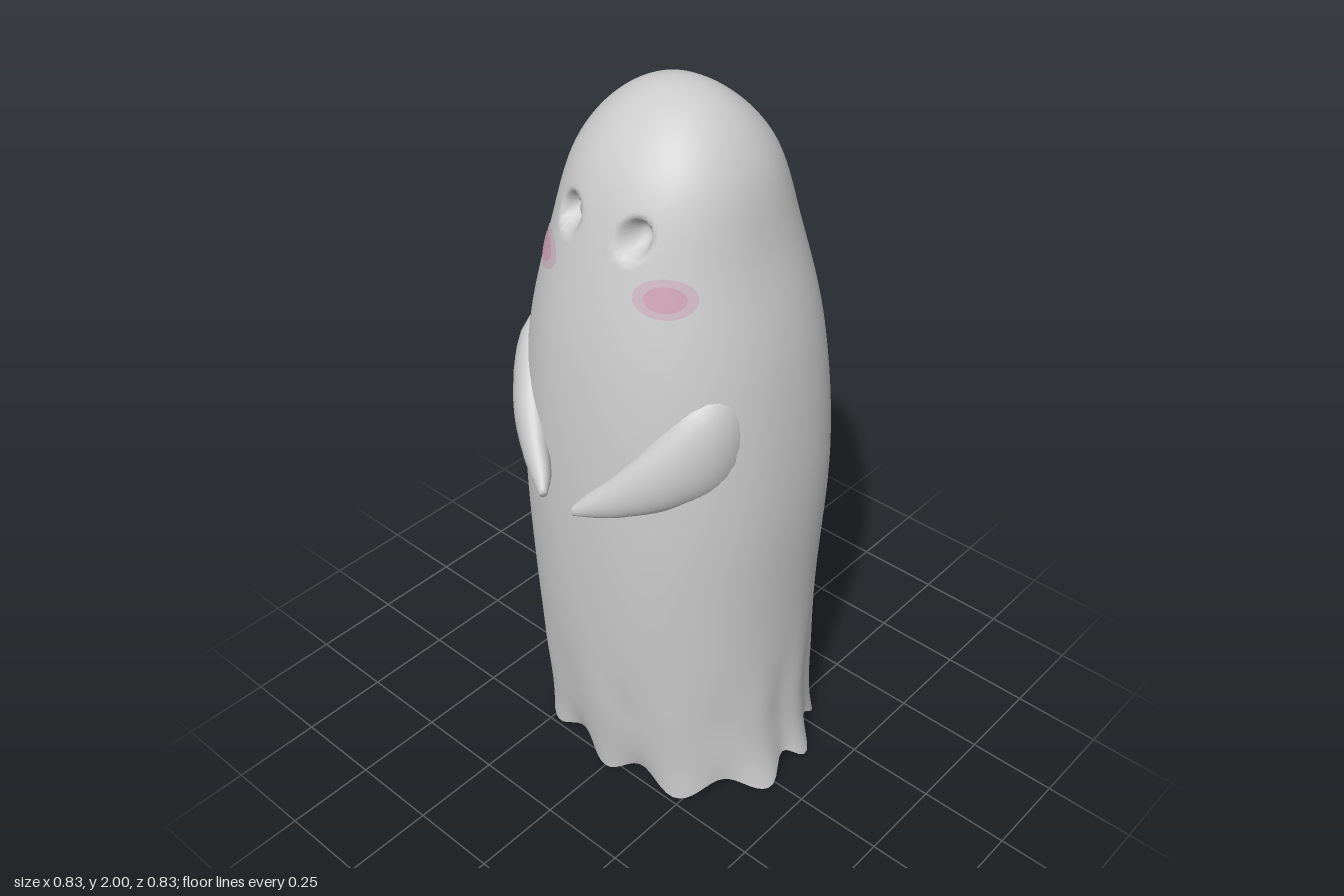
import * as THREE from 'three';

const GREY = 0xcccccc;

// Body outline at equal steps of s, where y = 2 - s * s: half width, front z, back z
const PROFILE = [
  [0, -0.03, -0.03], [0.128, 0.09, -0.14], [0.228, 0.2, -0.25], [0.285, 0.27, -0.32],
  [0.355, 0.325, -0.385], [0.39, 0.347, -0.415], [0.383, 0.333, -0.39], [0.385, 0.28, -0.37],
];
// Angles (degrees from the front) of the hem scallops on one half
const SCALLOPS = [0, 35, 77, 103, 130, 155, 180];

// Smooth interpolation of one profile column
function profileAt(s, col) {
  const p = Math.min(s / 0.2, 7.08);
  const i = Math.min(Math.floor(p), 6), t = p - i;
  const last = PROFILE.length - 1;
  const b = PROFILE[i][col], c = PROFILE[i + 1][col];
  const a = i > 0 ? PROFILE[i - 1][col] : 2 * b - c;
  const d = i + 2 <= last ? PROFILE[i + 2][col] : 2 * c - b;
  const m0 = (c - a) / 2, m1 = (d - b) / 2;
  return b + t * (m0 + t * (3 * (c - b) - 2 * m0 - m1 + t * (2 * (b - c) + m0 + m1)));
}

// +1 at the tip of a scallop, -1 in the gap between two
function scallop(theta) {
  let deg = Math.abs(THREE.MathUtils.radToDeg(theta)) % 360;
  if (deg > 180) deg = 360 - deg;
  let k = 0;
  while (k < SCALLOPS.length - 2 && deg > SCALLOPS[k + 1]) k++;
  const t = (deg - SCALLOPS[k]) / (SCALLOPS[k + 1] - SCALLOPS[k]);
  return Math.cos(t * Math.PI * 2);
}

// Point of the sheet at angle theta (0 = front, positive towards +x) and height parameter s
function sheetPoint(theta, s, offset = 0) {
  const sin = Math.sin(theta), cos = Math.cos(theta);
  const w = profileAt(s, 0), front = profileAt(s, 1), back = profileAt(s, 2);
  const n = 2.2;
  const r = Math.pow(Math.abs(sin) ** n + Math.abs(cos) ** n, -1 / n);
  let y = Math.max(0, 2 - s * s);

  // flared, scalloped hem and faint folds above it
  const c = scallop(theta), side = sin * sin;
  const k = Math.max(0, 1 - y / 0.28) ** 2;
  const fold = Math.exp(-(((y - 0.28) / 0.14) ** 2)) * 0.005 * c;
  const out = offset + fold + k * (side * (0.022 + 0.018 * c) + 0.012 * (c - 1) * (1 - side));
  y += k * (0.028 * (1 - c) + 0.022 * (1 - cos));

  const x = sin * (w * r + out);
  let z = (front + back) / 2 + cos * ((front - back) / 2 * r + out);

  // eye sockets
  if (z > 0) {
    const d = Math.hypot((Math.abs(x) - 0.098) / 0.044, (y - 1.725) / 0.056);
    if (d < 1) z -= 0.055 * THREE.MathUtils.smoothstep(1 - d, 0, 0.75);
  }
  return new THREE.Vector3(x, y, z);
}

// Surface from rows of closed loops, each running anticlockwise seen from above
function loft(rows, cols, pointAt) {
  const pos = [], index = [];
  for (let i = 0; i <= rows; i++) {
    for (let j = 0; j < cols; j++) {
      pos.push(...pointAt(i / rows, (j / cols) * Math.PI * 2).toArray());
    }
  }
  for (let i = 0; i < rows; i++) {
    for (let j = 0; j < cols; j++) {
      const a = i * cols + j, b = i * cols + (j + 1) % cols;
      index.push(a, a + cols, b, b, a + cols, b + cols);
    }
  }
  const g = new THREE.BufferGeometry();
  g.setAttribute('position', new THREE.Float32BufferAttribute(pos, 3));
  g.setIndex(index);
  g.computeVertexNormals();
  return g;
}

function part(name, geometry, color = GREY) {
  const material = new THREE.MeshStandardMaterial({ color, side: THREE.DoubleSide });
  const mesh = new THREE.Mesh(geometry, material);
  mesh.name = name;
  return mesh;
}

// Draped sleeve tapering from the shoulder to a pointed hand
function armGeometry(side) {
  const path = new THREE.CatmullRomCurve3([
    [0.23, 1.27, 0.02], [0.268, 1.215, 0.16], [0.22, 1.15, 0.262],
    [0.145, 1.092, 0.335], [0.085, 1.058, 0.378], [0.05, 1.04, 0.408],
  ].map((p) => new THREE.Vector3(...p)));
  const heights = [0.17, 0.14, 0.095, 0.058, 0.034, 0.012];
  const depths = [0.08, 0.075, 0.055, 0.036, 0.024, 0.01];
  const mix = (list, t) => {
    const i = Math.min(Math.floor(t * 5), 4);
    return THREE.MathUtils.lerp(list[i], list[i + 1], t * 5 - i);
  };
  return loft(31, 28, (v, angle) => {
    const t = Math.min(1, v * 31 / 30);
    const size = v === 1 ? 0 : 1; // the last loop closes the tip
    const tangent = path.getTangent(t);
    const up = new THREE.Vector3(0, 1, 0).addScaledVector(tangent, -tangent.y).normalize();
    const across = new THREE.Vector3().crossVectors(up, tangent);
    const a = -angle * side;
    const p = path.getPoint(t)
      .addScaledVector(up, size * mix(heights, t) * Math.cos(a))
      .addScaledVector(across, -size * mix(depths, t) * Math.sin(a));
    p.x *= side;
    return p;
  });
}

// Soft oval of blush lying just over the face
function blushGeometry(side, scale, offset) {
  return loft(6, 32, (v, a) => {
    const theta = side * (0.66 + 0.25 * scale * v * Math.cos(a));
    const y = 1.605 + 0.046 * scale * v * Math.sin(a);
    return sheetPoint(theta, Math.sqrt(2 - y), offset);
  });
}

export function createModel() {
  const model = new THREE.Group();
  model.name = 'sheetGhost';

  // hollow sheet body, open at the hem
  const cols = 128;
  const body = loft(140, cols, (v, theta) => sheetPoint(theta, v * Math.SQRT2));
  const normals = body.getAttribute('normal');
  for (let j = 0; j < cols; j++) normals.setXYZ(j, 0, 1, 0);
  model.add(part('sheetBody', body));

  for (const [label, side] of [['left', 1], ['right', -1]]) {
    model.add(part(label + 'Arm', armGeometry(side)));

    const cheek = new THREE.Group();
    cheek.name = label + 'Cheek';
    cheek.add(part('blushEdge', blushGeometry(side, 1, 0.002), 0xccb6c0));
    cheek.add(part('blushCentre', blushGeometry(side, 0.65, 0.004), 0xcca2b2));
    model.add(cheek);
  }
  return model;
}
